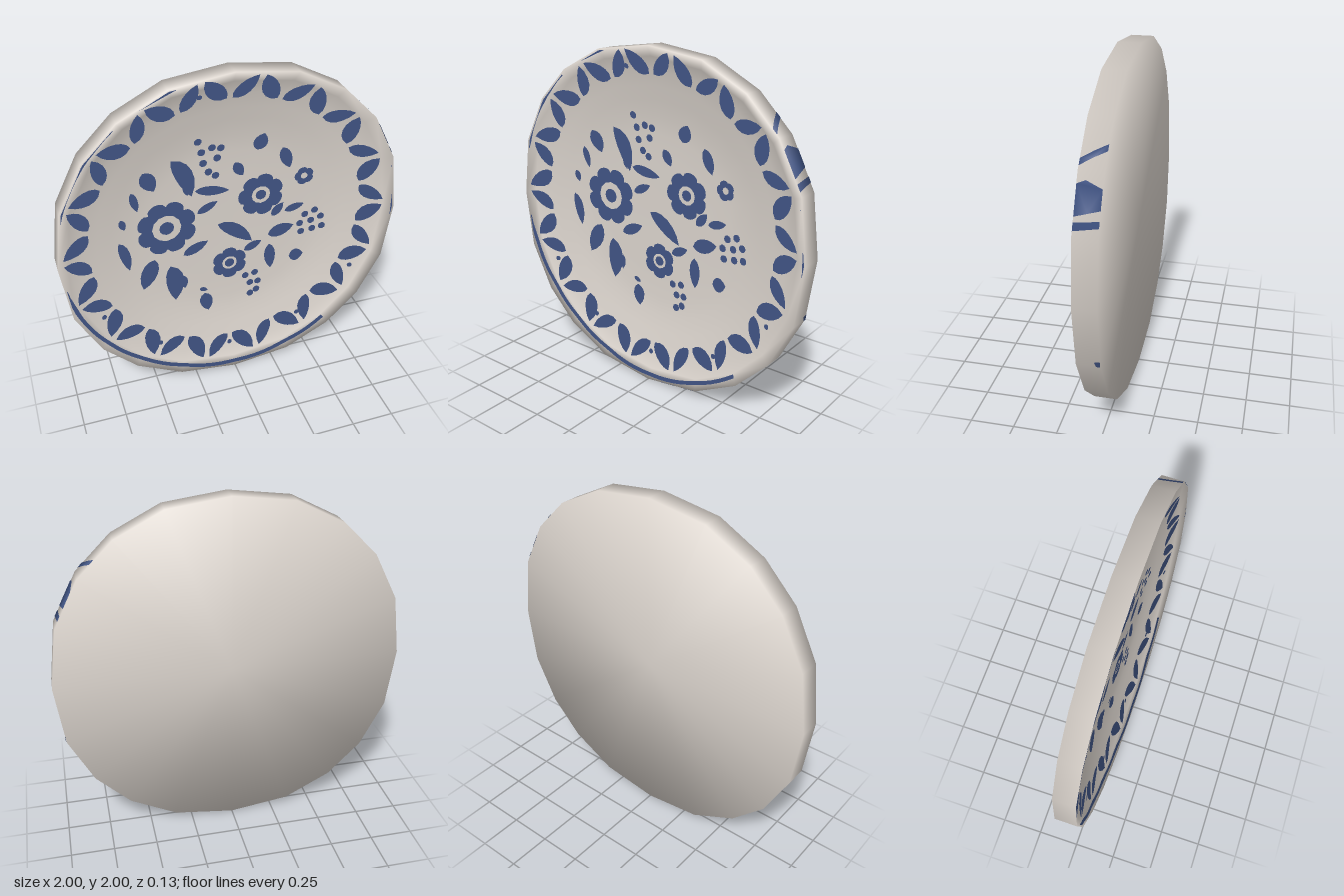
import * as THREE from 'three';
import { mergeGeometries } from 'three/addons/utils/BufferGeometryUtils.js';

const SIDES = 20, LIFT = 0.004, TAU = Math.PI * 2;
// plate profile: radius, depth (back centre, wall, rim, well)
const PROFILE = [[0, -0.063], [1, -0.063], [1, 0.063], [0.94, 0.034], [0.87, 0.011], [0.78, -0.006],
  [0.7, -0.021], [0.6, -0.038], [0.5, -0.046], [0.35, -0.05], [0, -0.052]];

// the outline is a slightly squared round with unevenly spaced corners
const uneven = a => a + 0.038 * Math.sin(4 * a);
const swell = a => 1 + 0.012 * (1 - Math.cos(4 * a)) + 0.003 * (1 - Math.cos(8 * a));
const corners = Array.from({ length: SIDES + 1 }, (_, i) => uneven(i * TAU / SIDES));
const cornerPoint = a => new THREE.Vector2(Math.cos(a), Math.sin(a)).multiplyScalar(swell(a));

// distance from the centre to the faceted outline at an angle
function outline(angle) {
  const a = ((angle % TAU) + TAU) % TAU;
  let k = 0;
  while (k < SIDES - 1 && corners[k + 1] <= a) k++;
  const start = cornerPoint(corners[k]), edge = cornerPoint(corners[k + 1]).sub(start);
  return start.cross(edge) / new THREE.Vector2(Math.cos(a), Math.sin(a)).cross(edge);
}

function frontDepth(p) {
  for (let i = 2; i < PROFILE.length - 1; i++) {
    const [r0, z0] = PROFILE[i], [r1, z1] = PROFILE[i + 1];
    if (p >= r1) return z1 + (z0 - z1) * (p - r1) / (r0 - r1);
  }
  return PROFILE[PROFILE.length - 1][1];
}

// lay a flat shape onto the front of the plate
function onFront(shape) {
  const g = new THREE.ShapeGeometry(shape, 6), pos = g.attributes.position;
  for (let i = 0; i < pos.count; i++) {
    const x = pos.getX(i), y = pos.getY(i) - 1;
    const p = Math.hypot(x, y) / outline(Math.atan2(y, x));
    const s = Math.min(1, 0.99 / Math.max(p, 0.001));
    pos.setXYZ(i, x * s, y * s + 1, frontDepth(p * s) + LIFT);
  }
  return g;
}

// wrap a shape of (degrees, depth) points onto the outer wall, rounded like it
function onWall(points) {
  const g = new THREE.ShapeGeometry(new THREE.Shape(points.map(p => new THREE.Vector2(...p))));
  const pos = g.attributes.position;
  for (let i = 0; i < pos.count; i++) {
    const a = THREE.MathUtils.degToRad(pos.getX(i)), z = pos.getY(i), r = outline(a) + 0.003;
    const n = new THREE.Vector3(Math.cos(a), Math.sin(a), z / 0.063).normalize();
    pos.setXYZ(i, r * Math.cos(a), r * Math.sin(a) + 1, z);
    g.attributes.normal.setXYZ(i, n.x, n.y, n.z);
  }
  return g;
}

// pointed leaf between two ends; bend pushes it to one side
function leaf(x1, y1, x2, y2, width, bend = 0) {
  const dx = x2 - x1, dy = y2 - y1, l = Math.hypot(dx, dy), nx = -dy / l, ny = dx / l;
  const at = (t, o) => [x1 + dx * t + nx * o, y1 + dy * t + ny * o];
  const s = new THREE.Shape();
  s.moveTo(x1, y1);
  s.bezierCurveTo(...at(0.15, width * 0.67 + bend), ...at(0.7, width * 0.67 + bend), x2, y2);
  s.bezierCurveTo(...at(0.7, -width * 0.67 + bend), ...at(0.15, -width * 0.67 + bend), x1, y1);
  return s;
}

function disk(x, y, r) {
  const s = new THREE.Shape();
  s.absarc(x, y, r, 0, TAU);
  return s;
}

// scalloped bloom with a pale ring around its core
function bloom(x, y, r, petals, hole, core) {
  const pts = [], n = petals * 8;
  for (let i = 0; i < n; i++) {
    const a = i / n * TAU, q = r * (0.82 + 0.18 * Math.sqrt(Math.abs(Math.sin(a * petals / 2))));
    pts.push(new THREE.Vector2(x + q * Math.cos(a), y + q * Math.sin(a)));
  }
  const s = new THREE.Shape(pts), h = new THREE.Path();
  h.absarc(x, y, hole, 0, TAU, true);
  s.holes.push(h);
  return core ? [s, disk(x, y, core)] : [s];
}

// thin curved line near the rim
function arcLine(from, to, r, w) {
  const pts = [], n = 36, a0 = from * Math.PI / 180, a1 = to * Math.PI / 180;
  for (let i = 0; i <= 2 * n + 1; i++) {
    const outer = i <= n, t = outer ? i / n : (2 * n + 1 - i) / n;
    const a = a0 + (a1 - a0) * t, q = outer ? r : r - w;
    pts.push(new THREE.Vector2(q * Math.cos(a), 1.02 + q * Math.sin(a)));
  }
  return new THREE.Shape(pts);
}

export function createModel() {
  const group = new THREE.Group();
  const glaze = new THREE.MeshStandardMaterial({ color: 0xdcd5ce });
  glaze.name = 'cream glaze';
  const paint = new THREE.MeshStandardMaterial({ color: 0x415586, side: THREE.DoubleSide });
  paint.name = 'blue paint';
  const add = (name, geometry, material) => {
    const m = new THREE.Mesh(geometry, material);
    m.name = name;
    group.add(m);
  };
  const addPaint = (name, shapes) => add(name, mergeGeometries(shapes.map(onFront)), paint);

  // plate body, with evenly softened front and back edges
  const body = new THREE.LatheGeometry(PROFILE.map(p => new THREE.Vector2(...p)), SIDES);
  body.rotateX(Math.PI / 2);
  const pos = body.attributes.position;
  for (let i = 0; i < pos.count; i++) {
    const x = pos.getX(i), y = pos.getY(i), a = uneven(Math.atan2(y, x));
    const r = Math.hypot(x, y) * swell(a), ring = i % PROFILE.length;
    pos.setXY(i, r * Math.cos(a), r * Math.sin(a) + 1);
    if (ring === 1 || ring === 2) {
      const n = new THREE.Vector3(Math.cos(a), Math.sin(a), ring === 1 ? -1.2 : 1).normalize();
      body.attributes.normal.setXYZ(i, n.x, n.y, n.z);
    }
  }
  add('plate', body, glaze);

  // border of plump leaves leaning alternately left and right
  const border = [];
  for (let i = 0; i < 36; i++) {
    const lean = i % 2 ? 1 : -1, a = (i + 0.5) / 36 * TAU;
    const at = (r, t) => [r * Math.cos(t) - 0.015, 1.03 + r * Math.sin(t)];
    border.push(leaf(...at(0.81, a - lean * 0.068), ...at(0.95, a + lean * 0.066),
      i % 2 ? 0.095 : 0.08, lean * 0.012));
  }
  addPaint('borderLeaves', border);
  addPaint('borderDots', [[-0.78, 0.58], [-0.46, 0.28], [-0.02, 0.16], [0.43, 0.28], [0.77, 0.58],
    [0.71, 1.5], [0.51, 1.73], [-0.18, 1.87]].map(([x, y]) => disk(x, y, 0.015)));
  addPaint('rimLines', [arcLine(190, 307, 1, 0.02), arcLine(108, 122, 1.005, 0.018),
    arcLine(130, 164, 1.005, 0.018), arcLine(-5, 16, 1, 0.012)]);

  // blooms
  addPaint('blooms', [
    ...bloom(-0.37, 1.07, 0.175, 8, 0.085, 0.043),
    ...bloom(0.19, 1.18, 0.137, 7, 0.056, 0.032),
    ...bloom(0, 0.74, 0.108, 6, 0.046, 0.03),
    ...bloom(0.45, 1.26, 0.058, 5, 0.02, 0),
  ]);

  // scattered leaves: start, end, width, bend
  addPaint('leaves', [
    [-0.33, 1.5, -0.22, 1.25, 0.1, 0.03], [-0.49, 1.46, -0.43, 1.33, 0.09],
    [-0.56, 1.35, -0.53, 1.22, 0.045], [-0.63, 1.19, -0.61, 1.12, 0.04],
    [-0.65, 1.04, -0.6, 0.84, 0.06, 0.01], [-0.45, 0.87, -0.53, 0.68, 0.1],
    [-0.36, 0.8, -0.34, 0.55, 0.11, 0.02], [-0.28, 0.71, -0.28, 0.62, 0.04],
    [-0.28, 0.86, -0.13, 0.93, 0.065], [-0.2, 1.28, 0, 1.25, 0.06],
    [-0.19, 1.13, -0.07, 1.19, 0.05], [-0.26, 1.33, -0.24, 1.26, 0.035],
    [-0.07, 1.03, 0.14, 0.87, 0.085, 0.02], [0.24, 0.89, 0.4, 0.93, 0.085],
    [0.26, 1.02, 0.33, 1.1, 0.055], [0.34, 1.04, 0.46, 1.07, 0.05],
    [0.16, 1.48, 0.2, 1.58, 0.085], [0.31, 1.47, 0.36, 1.33, 0.07],
    [0.03, 1.42, 0.08, 1.33, 0.06], [0.09, 0.81, 0.2, 0.86, 0.055],
    [0.25, 0.82, 0.26, 0.64, 0.07], [0.38, 0.7, 0.47, 0.71, 0.085],
    [-0.16, 0.55, -0.14, 0.42, 0.08], [-0.19, 0.59, -0.14, 0.57, 0.03],
  ].map(l => leaf(...l)));

  // sprays of berries
  addPaint('berries', [
    [-0.18, 1.59], [-0.16, 1.52], [-0.1, 1.54], [-0.05, 1.53], [-0.15, 1.45], [-0.07, 1.47],
    [-0.12, 1.39], [-0.08, 1.36], [0.47, 0.99], [0.53, 1.01], [0.51, 0.94], [0.57, 0.96],
    [0.58, 0.89], [0.52, 0.88], [0.45, 0.87], [0.44, 0.93], [0.1, 0.62], [0.16, 0.63],
    [0.13, 0.56], [0.18, 0.56], [0.13, 0.48], [0.17, 0.5],
  ].map(([x, y]) => disk(x, y, 0.022)));

  // painted marks that run over the outer wall
  add('wallMarks', mergeGeometries([
    [[38.6, 0.062], [40.6, 0.062], [43, 0], [45, -0.062], [43, -0.062], [41, 0]],
    [[25.5, 0.062], [34, 0.062], [35, 0.02], [33, -0.062], [27.5, -0.062], [26.5, 0]],
    [[21.8, 0.062], [24, 0.062], [24.8, -0.062], [23, -0.062]],
    [[-20, -0.06], [-18, -0.06], [-18.5, -0.03], [-20, -0.04]],
    [[-77, 0.02], [-71, 0.01], [-71, 0.06], [-76, 0.06]],
    [[-88, -0.02], [-74, -0.04], [-74, -0.025], [-88, -0.005]],
    [[-86, 0.03], [-80, 0.02], [-78, 0.06], [-85, 0.06]],
  ].map(onWall)), paint);

  return group;
}
